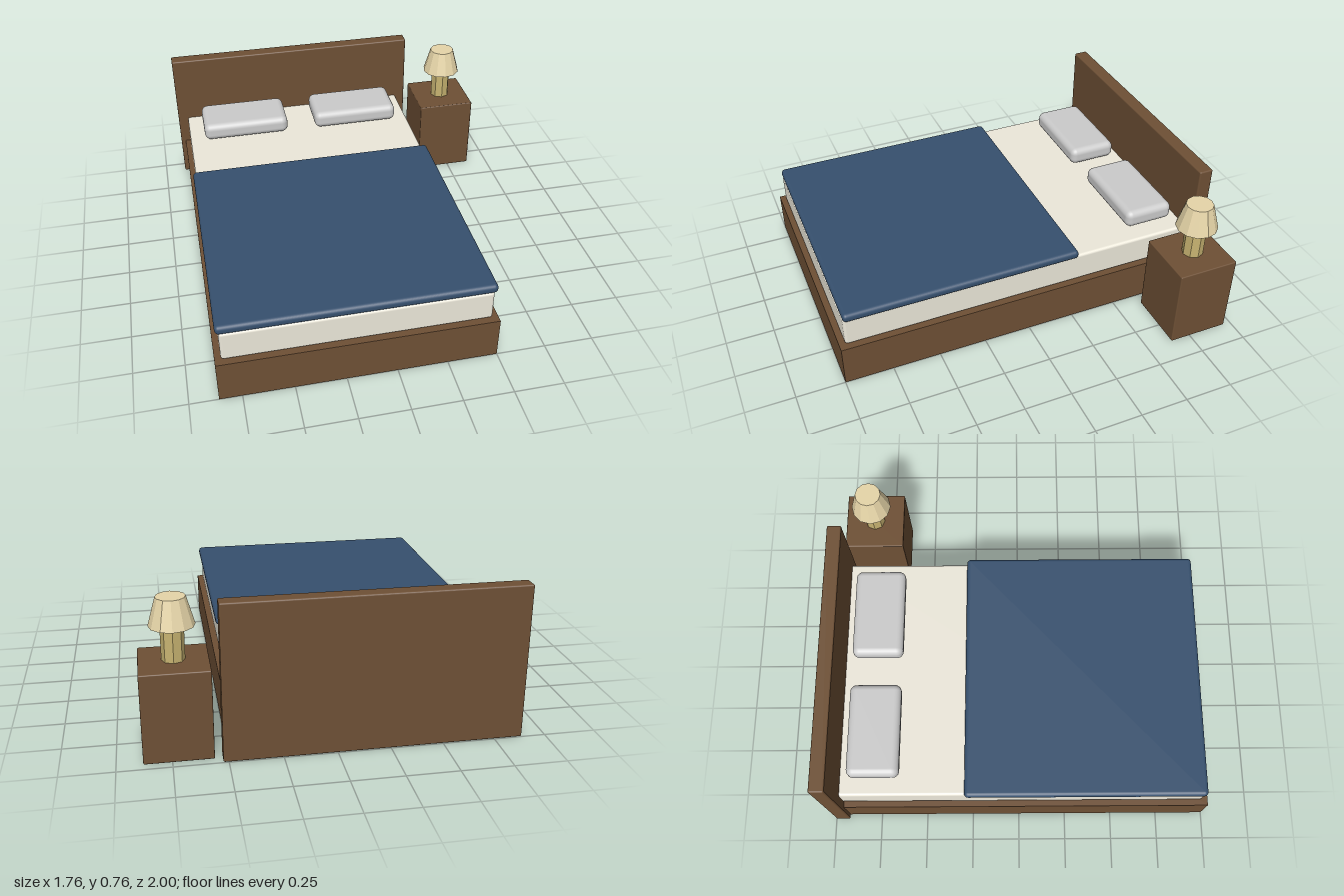
import * as THREE from 'three';
import { RoundedBoxGeometry } from 'three/addons/geometries/RoundedBoxGeometry.js';

const material = (color, flatShading = false) => new THREE.MeshStandardMaterial({ color, flatShading });

export function createModel() {
  const model = new THREE.Group();
  model.name = 'bedroomSet';
  const wood = material(0x6e5035);
  const linen = material(0xece8da);
  const cloth = material(0x36506e);
  const grey = material(0xcccccc);
  const lampShade = material(0xe6d5a8, true);
  const lampMetal = material(0xc8b472, true);

  function add(name, geometry, mat, x, y, z) {
    const mesh = new THREE.Mesh(geometry, mat);
    mesh.name = name;
    mesh.position.set(x, y, z);
    model.add(mesh);
    return mesh;
  }

  // Box given by its limits on each axis; a radius rounds the edges
  function block(name, mat, [x0, x1], [y0, y1], [z0, z1], radius = 0) {
    const size = [x1 - x0, y1 - y0, z1 - z0];
    const geometry = radius
      ? new RoundedBoxGeometry(...size, 3, radius)
      : new THREE.BoxGeometry(...size);
    return add(name, geometry, mat, (x0 + x1) / 2, (y0 + y1) / 2, (z0 + z1) / 2);
  }

  // Bed
  block('bedFrame', wood, [-0.86, 0.5], [0, 0.22], [-0.94, 1]);
  block('headboard', wood, [-0.885, 0.525], [0, 0.76], [-1, -0.925], 0.008);
  block('mattress', linen, [-0.83, 0.47], [0.22, 0.38], [-0.94, 0.97], 0.015);
  block('blanket', cloth, [-0.845, 0.487], [0.373, 0.42], [-0.28, 0.97], 0.02);

  // Pillows
  for (const [name, x] of [['rightPillow', -0.503], ['leftPillow', 0.147]])
    block(name, grey, [x - 0.243, x + 0.243], [0.39, 0.488], [-0.882, -0.613], 0.035);

  // Nightstand with lamp
  block('nightstand', wood, [0.56, 0.88], [0, 0.435], [-0.96, -0.64], 0.006);
  add('lampBase', new THREE.CylinderGeometry(0.054, 0.054, 0.17, 8), lampMetal, 0.72, 0.518, -0.8);
  add('lampShade', new THREE.CylinderGeometry(0.068, 0.106, 0.135, 12), lampShade, 0.72, 0.668, -0.8);

  return model;
}
